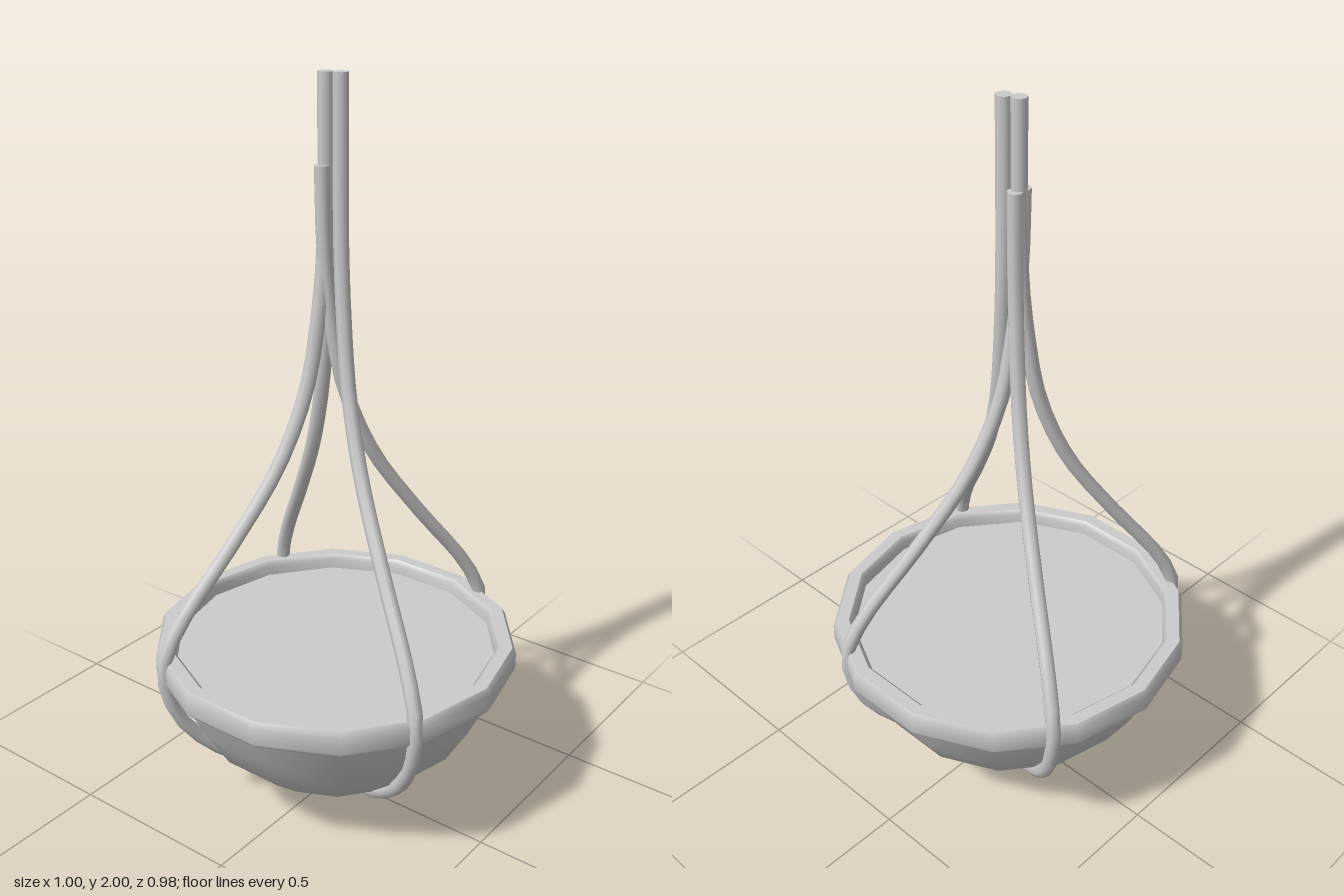
import * as THREE from 'three';

const material = new THREE.MeshStandardMaterial({ color: 0xcccccc });
const doubleSided = new THREE.MeshStandardMaterial({ color: 0xcccccc, side: THREE.DoubleSide });
const SIDES = 14;
const CORD_RADIUS = 0.02;

function addMesh(group, name, geometry, mat = material) {
  const mesh = new THREE.Mesh(geometry, mat);
  mesh.name = name;
  group.add(mesh);
  return mesh;
}

// Lathe with a corner on the x axis
function lathe(points) {
  return new THREE.LatheGeometry(points.map(([r, y]) => new THREE.Vector2(r, y)), SIDES, Math.PI / 2);
}

// Height and outward fraction of a cord, from its straight top to the rim and under the bowl
const UPPER = [[1.58, 0.01], [1.4, 0.045], [1.2, 0.12], [1.0, 0.29], [0.8, 0.57], [0.6, 0.88], [0.49, 0.99]];
const LOWER = [[0.4, 0.985], [0.3, 0.91], [0.2, 0.74], [0.1, 0.46], [0.045, 0.22]];

// Points of half a cord; top = [x, y, z], rim and bottom = [x, z]
function halfCord(top, rim, bottom) {
  const at = (x, z, y, f) => new THREE.Vector3(x + (rim[0] - x) * f, y, z + (rim[1] - z) * f);
  return [
    new THREE.Vector3(...top),
    ...UPPER.map(([y, f]) => at(top[0], top[2], y, f)),
    ...LOWER.map(([y, f]) => at(bottom[0], bottom[1], y, f)),
  ];
}

// One cord looping under the bowl, with both cut ends closed
function makeCord(name, topA, rimA, topB, rimB) {
  const cord = new THREE.Group();
  cord.name = name;
  const bottom = [(rimA[0] + rimB[0]) / 2, (rimA[1] + rimB[1]) / 2];
  const path = new THREE.CatmullRomCurve3([
    ...halfCord(topA, rimA, bottom),
    new THREE.Vector3(bottom[0], 0.022, bottom[1]),
    ...halfCord(topB, rimB, bottom).reverse(),
  ]);
  addMesh(cord, 'cordLoop', new THREE.TubeGeometry(path, 64, CORD_RADIUS, 8));
  for (const top of [topA, topB]) {
    const cap = addMesh(cord, 'cordEnd', new THREE.CircleGeometry(CORD_RADIUS, 8));
    cap.rotation.x = -Math.PI / 2;
    cap.position.set(...top);
  }
  return cord;
}

export function createModel() {
  const model = new THREE.Group();
  model.name = 'hangingPlanter';

  // Bowl, rim and soil
  const planter = new THREE.Group();
  planter.name = 'planter';
  planter.position.z = -0.003;
  model.add(planter);
  addMesh(planter, 'bowl', lathe([[0, 0.045], [0.13, 0.06], [0.26, 0.12], [0.375, 0.22], [0.44, 0.33], [0.482, 0.415]]), doubleSided);
  addMesh(planter, 'rimOuter', lathe([[0.475, 0.41], [0.49, 0.415], [0.502, 0.43], [0.502, 0.475], [0.492, 0.492]]), doubleSided);
  addMesh(planter, 'rimTop', lathe([[0.492, 0.492], [0.458, 0.492]]), doubleSided);
  addMesh(planter, 'rimInner', lathe([[0.458, 0.492], [0.447, 0.48], [0.447, 0.44]]), doubleSided);
  const soil = addMesh(planter, 'soil', new THREE.CircleGeometry(0.45, SIDES));
  soil.rotation.x = -Math.PI / 2;
  soil.position.y = 0.45;

  // Two crossing cords, each with a long and a short end
  model.add(makeCord('cordLeftToRight', [0, 2, -0.023], [0.432, 0.232], [-0.038, 1.78, -0.026], [-0.41, -0.27]));
  model.add(makeCord('cordFrontToBack', [-0.035, 2, -0.01], [-0.262, 0.415], [-0.035, 1.78, 0.005], [0.197, -0.447]));

  return model;
}
